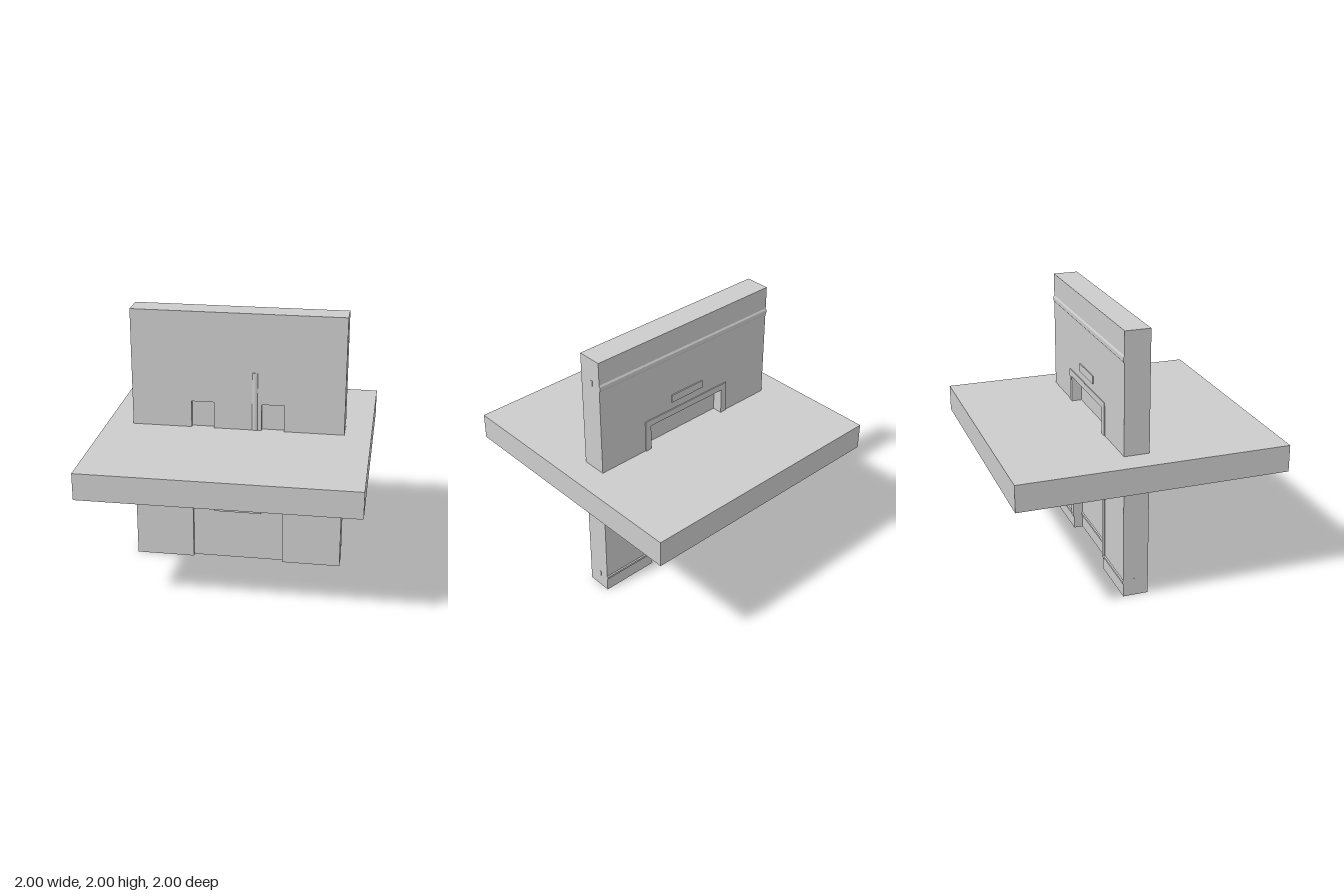
import * as THREE from 'three';

const material = new THREE.MeshStandardMaterial({ color: 0xcccccc, flatShading: true });
const smooth = new THREE.MeshStandardMaterial({ color: 0xcccccc });

const FRONT = 0.018, BACK = -0.17;      // wall faces
const FRONT_RECESS = -0.014, BACK_RECESS = -0.1;

export function createModel() {
  const model = new THREE.Group();
  model.name = 'wallWithFloorSlab';

  const add = (name, geometry, mat = material) => {
    const mesh = new THREE.Mesh(geometry, mat);
    mesh.name = name;
    model.add(mesh);
    return mesh;
  };
  // Box given by its lower and upper limits
  const box = (name, x0, x1, y0, y1, z0, z1) => {
    const mesh = add(name, new THREE.BoxGeometry(x1 - x0, y1 - y0, z1 - z0));
    mesh.position.set((x0 + x1) / 2, (y0 + y1) / 2, (z0 + z1) / 2);
    return mesh;
  };
  // Outline extruded between two depths
  const layer = (name, points, z0, z1) => {
    const shape = new THREE.Shape(points.map(([x, y]) => new THREE.Vector2(x, y)));
    const geometry = new THREE.ExtrudeGeometry(shape, { depth: z1 - z0, bevelEnabled: false });
    geometry.translate(0, 0, z0);
    return add(name, geometry);
  };

  // Horizontal slab crossing the wall
  box('floorSlab', -1, 1, 0.9, 1.1, -1, 1);

  // Wall in three layers: stepped recess in front, solid core, doorway recess behind
  layer('wallFront', [
    [-0.8, 0], [-0.35, 0], [-0.35, 1.305], [-0.18, 1.305], [-0.18, 0.405], [0.18, 0.405],
    [0.18, 1.305], [0.35, 1.305], [0.35, 0], [0.8, 0], [0.8, 2], [-0.8, 2],
  ], FRONT_RECESS, FRONT);
  box('wallCore', -0.8, 0.8, 0, 2, BACK_RECESS, FRONT_RECESS);
  layer('wallBack', [
    [-0.8, 0], [-0.35, 0], [-0.35, 1.3], [0.35, 1.3], [0.35, 0], [0.8, 0], [0.8, 2], [-0.8, 2],
  ], BACK, BACK_RECESS);

  // Raised frame around the doorway at the back
  layer('doorFrame', [
    [-0.4, 0.1], [-0.35, 0.1], [-0.35, 1.3], [0.35, 1.3], [0.35, 0.1], [0.4, 0.1],
    [0.4, 1.35], [-0.4, 1.35],
  ], BACK - 0.007, BACK + 0.01);

  // Bevelled mouldings along the back wall
  const moulding = (name, x0, x1, y, half, z) => {
    const profile = new THREE.Shape([
      new THREE.Vector2(-0.005, -half), new THREE.Vector2(0.008, -half * 0.4),
      new THREE.Vector2(0.008, half * 0.4), new THREE.Vector2(-0.005, half),
    ]);
    const geometry = new THREE.ExtrudeGeometry(profile, { depth: x1 - x0, bevelEnabled: false });
    const mesh = add(name, geometry);
    mesh.rotation.y = Math.PI / 2;       // profile x points to the back, depth along +x
    mesh.position.set(x0, y, z);
  };
  moulding('upperMoulding', -0.8, 0.8, 1.8, 0.035, BACK);
  moulding('doorMoulding', -0.35, 0.35, 0.115, 0.02, BACK_RECESS);
  moulding('baseMouldingRight', -0.8, -0.35, 0.115, 0.02, BACK);
  moulding('baseMouldingLeft', 0.35, 0.8, 0.115, 0.02, BACK);

  // Small plate above the doorway
  box('plate', -0.15, 0.15, 1.41, 1.47, BACK - 0.008, BACK + 0.01);

  // Slight studs on both wall ends
  for (const side of [-1, 1]) {
    for (const [y, half] of [[1.8, 0.033], [0.115, 0.02]]) {
      box('endStud', side * 0.8 - 0.003, side * 0.8 + 0.003, y - half, y + half, -0.1, -0.085);
    }
  }

  // Vertical bar handle, mostly sunk in the front face
  const handle = add('barHandle', new THREE.CylinderGeometry(0.03, 0.03, 1.1, 24), smooth);
  handle.position.set(0.13, 1, -0.004);

  return model;
}
